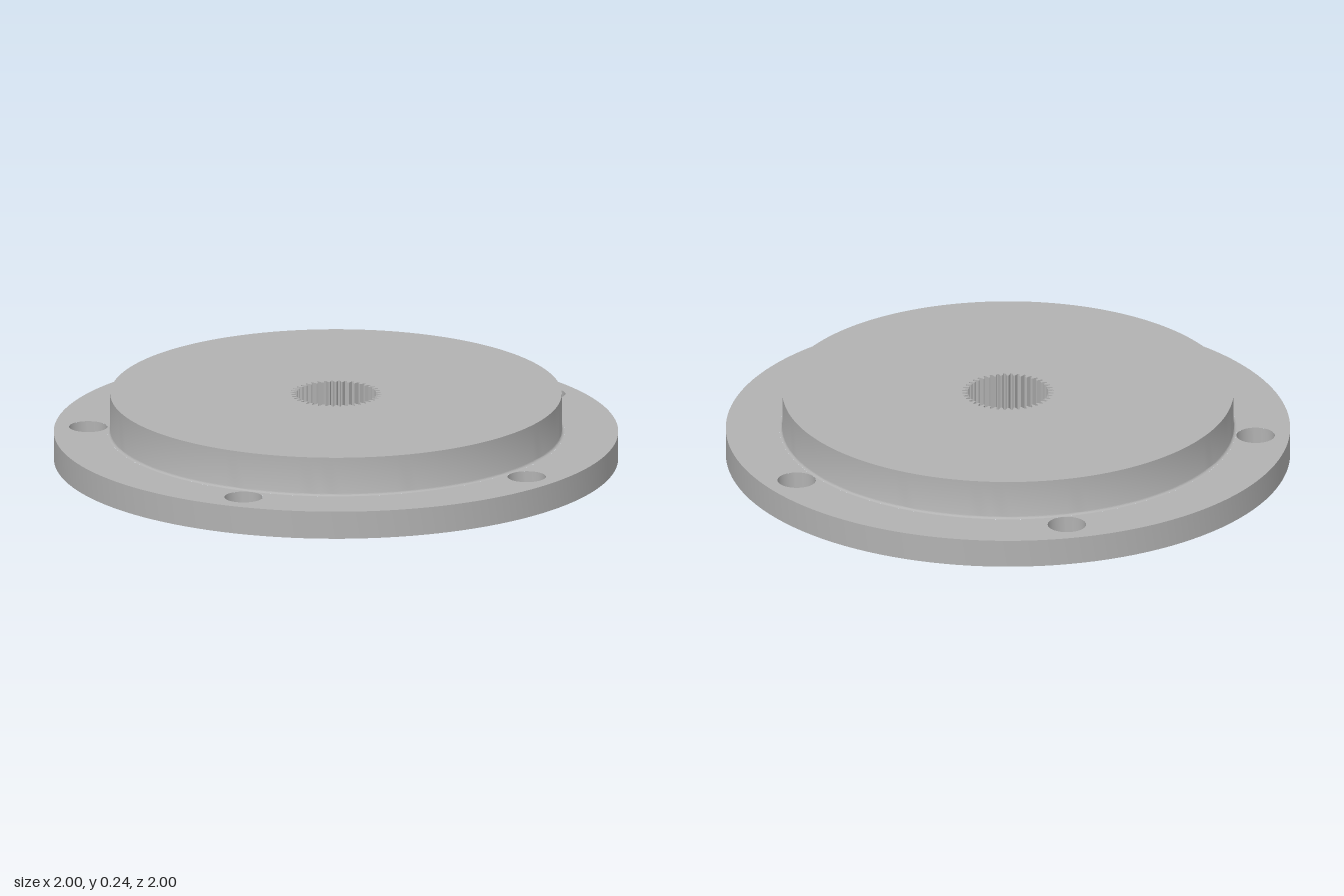
import * as THREE from 'three';
import { toCreasedNormals } from 'three/addons/utils/BufferGeometryUtils.js';

const SEG = 128;
const steel = new THREE.MeshStandardMaterial({ color: 0xb2b2b2 });
steel.name = 'grey steel';

// Main dimensions
const FLANGE_R = 1, FLANGE_TOP = 0.1;
const BOSS_R = 0.8, BOSS_TOP = 0.24, FILLET = 0.01;
const BOLT_R = 0.043, BORE_R = 0.068, BORE_FLOOR = 0.03;
const RECESS_R = 0.157, RECESS_TOP = 0.05, POCKET_FLOOR = 0.09;
const PIN_R = 0.02, TEETH = 40;

// Points spaced evenly on a circle
const around = (count, radius, start) => Array.from({ length: count }, (_, i) => {
  const a = start + (i / count) * Math.PI * 2;
  return [radius * Math.cos(a), radius * Math.sin(a)];
});
const boltSpots = around(5, 0.88, Math.PI);
const pinSpots = around(4, 0.08, 0);

const circle = (r, x = 0, y = 0, Kind = THREE.Path) => {
  const c = new Kind();
  c.absarc(x, y, r, 0, Math.PI * 2, false);
  return c;
};
const disc = (r) => circle(r, 0, 0, THREE.Shape);

// Internal spline outline
function gearPoints() {
  const pts = [];
  const step = (Math.PI * 2) / TEETH;
  for (let i = 0; i < TEETH; i++) {
    for (const [f, r] of [[-0.36, 0.143], [-0.14, 0.161], [0.14, 0.161], [0.36, 0.143]]) {
      const a = (i + f) * step;
      pts.push(new THREE.Vector2(r * Math.cos(a), r * Math.sin(a)));
    }
  }
  return pts;
}

// Upright walls of the spline, facing the axis
function splineWalls(pts, y0, y1) {
  const pos = [];
  pts.forEach((p, i) => {
    const q = pts[(i + 1) % pts.length];
    const a = [p.x, y0, -p.y], b = [q.x, y0, -q.y];
    const a2 = [p.x, y1, -p.y], b2 = [q.x, y1, -q.y];
    pos.push(...a, ...a2, ...b2, ...a, ...b2, ...b);
  });
  const g = new THREE.BufferGeometry();
  g.setAttribute('position', new THREE.Float32BufferAttribute(pos, 3));
  g.computeVertexNormals();
  return g;
}

export function createModel() {
  const model = new THREE.Group();
  model.name = 'splinedFlange';

  const add = (name, geometry, x = 0, z = 0) => {
    const mesh = new THREE.Mesh(geometry, steel);
    mesh.name = name;
    mesh.position.set(x, 0, z);
    model.add(mesh);
  };
  // Flat face with holes, facing up or down
  const face = (name, shape, holes, y, up) => {
    shape.holes.push(...holes);
    const g = new THREE.ShapeGeometry(shape, SEG);
    g.rotateX(up ? -Math.PI / 2 : Math.PI / 2).translate(0, y, 0);
    add(name, g);
  };
  // Turned surface: rising profiles face outward, falling ones inward
  const turned = (name, profile, seg = SEG, x = 0, z = 0) => {
    const pts = profile.map(([r, y]) => new THREE.Vector2(r, y));
    add(name, toCreasedNormals(new THREE.LatheGeometry(pts, seg), 0.5), x, z);
  };

  // Flange
  turned('flangeRim', [[FLANGE_R, 0], [FLANGE_R, FLANGE_TOP]]);
  face('flangeTop', disc(FLANGE_R),
    [circle(BOSS_R + FILLET), ...boltSpots.map(([x, y]) => circle(BORE_R, x, y))], FLANGE_TOP, true);
  face('flangeUnderside', disc(FLANGE_R),
    [circle(RECESS_R), ...boltSpots.map(([x, y]) => circle(BOLT_R, x, y))], 0, false);

  // Counterbored bolt holes
  for (const [x, z] of boltSpots) {
    turned('boltHole', [[BORE_R, FLANGE_TOP], [BORE_R, BORE_FLOOR], [BOLT_R, BORE_FLOOR], [BOLT_R, 0]], 48, x, z);
  }

  // Boss with a small fillet at its foot
  const bossProfile = [];
  for (let i = 0; i <= 6; i++) {
    const a = (i / 6) * Math.PI / 2;
    bossProfile.push([BOSS_R + FILLET * (1 - Math.sin(a)), FLANGE_TOP + FILLET * (1 - Math.cos(a))]);
  }
  bossProfile.push([BOSS_R, BOSS_TOP]);
  turned('bossWall', bossProfile);

  // Splined pocket in the boss
  const gear = gearPoints();
  face('bossTop', disc(BOSS_R), [new THREE.Path(gear)], BOSS_TOP, true);
  add('splineWalls', splineWalls(gear, POCKET_FLOOR, BOSS_TOP));
  const pins = () => pinSpots.map(([x, y]) => circle(PIN_R, x, y));
  face('pocketFloor', new THREE.Shape(gear), pins(), POCKET_FLOOR, true);

  // Round recess underneath, joined to the pocket by four pin holes
  turned('recessWall', [[RECESS_R, RECESS_TOP], [RECESS_R, 0]], 64);
  face('recessCeiling', disc(RECESS_R), pins(), RECESS_TOP, false);
  for (const [x, z] of pinSpots) {
    turned('pinHole', [[PIN_R, POCKET_FLOOR], [PIN_R, RECESS_TOP]], 24, x, z);
  }

  return model;
}
